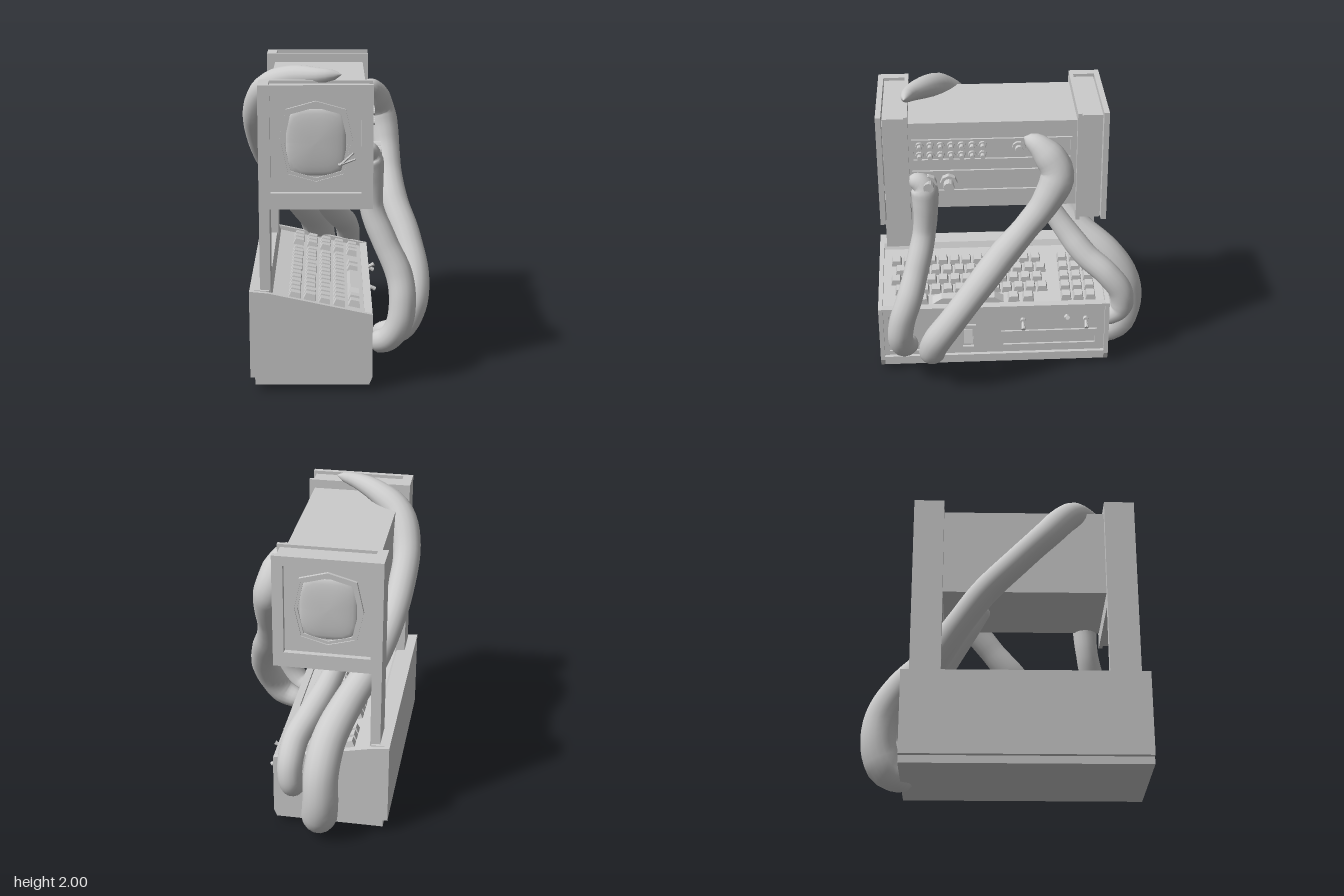
import * as THREE from 'three';
import { mergeVertices } from 'three/addons/utils/BufferGeometryUtils.js';

const mat = new THREE.MeshStandardMaterial({ color: 0xcccccc, side: THREE.DoubleSide });
const flat = new THREE.MeshStandardMaterial({ color: 0xcccccc, flatShading: true, side: THREE.DoubleSide });

function add(parent, name, geo, x = 0, y = 0, z = 0, m = flat) {
  const mesh = new THREE.Mesh(geo, m);
  mesh.name = name;
  mesh.position.set(x, y, z);
  parent.add(mesh);
  return mesh;
}

// box given by its limits on each axis
function box(parent, name, x0, x1, y0, y1, z0, z1) {
  return add(parent, name, new THREE.BoxGeometry(x1 - x0, y1 - y0, z1 - z0),
    (x0 + x1) / 2, (y0 + y1) / 2, (z0 + z1) / 2);
}

const poly = (pts) => pts.map(([x, y]) => new THREE.Vector2(x, y));

function extrude(pts, depth, hole) {
  const s = new THREE.Shape(poly(pts));
  if (hole) s.holes.push(new THREE.Path(poly(hole)));
  return new THREE.ExtrudeGeometry(s, { depth, bevelEnabled: false });
}

const rect = (x0, x1, y0, y1) => [[x0, y0], [x1, y0], [x1, y1], [x0, y1]];

// rectangular frame lying on a +x face
function sideFrame(parent, name, x, depth, z0, z1, y0, y1, t) {
  const geo = extrude(rect(-z1, -z0, y0, y1), depth, rect(-z1 + t, -z0 - t, y0 + t, y1 - t));
  geo.rotateY(Math.PI / 2);
  return add(parent, name, geo, x, 0, 0);
}

// round part with its axis along x, starting at x
function knob(parent, name, x, y, z, r, len, sides = 12, r2 = r) {
  const geo = new THREE.CylinderGeometry(r2, r, len, sides).rotateZ(-Math.PI / 2);
  return add(parent, name, geo, x + len / 2, y, z);
}

// organic tube with varying radius and rounded ends
function tentacle(parent, name, pts, radii) {
  const curve = new THREE.CatmullRomCurve3(pts.map((p) => new THREE.Vector3(...p)));
  const n = 64, sides = 16;
  const geo = new THREE.TubeGeometry(curve, n, 1, sides, false);
  const pos = geo.attributes.position, v = new THREE.Vector3();
  for (let i = 0; i <= n; i++) {
    const t = i / n, c = curve.getPointAt(t), f = t * (radii.length - 1);
    const k = Math.min(Math.floor(f), radii.length - 2);
    const e = Math.min(1, Math.min(t, 1 - t) / 0.035);
    const r = THREE.MathUtils.lerp(radii[k], radii[k + 1], f - k) * Math.sqrt(1 - (1 - e) ** 2);
    for (let j = 0; j <= sides; j++) {
      const q = i * (sides + 1) + j;
      v.fromBufferAttribute(pos, q).sub(c).multiplyScalar(Math.max(r, 0.001)).add(c);
      pos.setXYZ(q, v.x, v.y, v.z);
    }
  }
  geo.deleteAttribute('uv');
  geo.deleteAttribute('normal');
  const smooth = mergeVertices(geo, 1e-5);
  smooth.computeVertexNormals();
  return add(parent, name, smooth, 0, 0, 0, mat);
}

// eight-sided screen outline
const outline = (s) => [[0, 0.255], [-0.18, 0.205], [-0.225, 0], [-0.18, -0.205],
  [0, -0.255], [0.18, -0.205], [0.225, 0], [0.18, 0.205]].map(([x, y]) => [x * s, y * s]);

// monitor housing facing +z, with its outer face at z = 0.1
function monitor(name) {
  const g = new THREE.Group();
  g.name = name;
  const x0 = -0.345, x1 = 0.345, h = 0.38;
  box(g, 'housingCore', x0 + 0.02, x1 - 0.02, -h + 0.01, h - 0.02, -0.08, 0.06);
  box(g, 'innerFlange', x0, x1, -h, h, -0.1, -0.075);
  add(g, 'faceFrame', extrude(rect(x0, x1, -h, h), 0.035, rect(-0.275, 0.275, -0.28, 0.315)), 0, 0, 0.065);
  add(g, 'outerBezel', extrude(outline(1), 0.02, outline(0.93)), 0, 0.025, 0.06);
  add(g, 'innerBezel', extrude(outline(0.93), 0.012, outline(0.85)), 0, 0.025, 0.06);
  // bulging glass
  const glass = new THREE.SphereGeometry(1, 24, 6, 0, Math.PI * 2, 0, Math.PI / 2).rotateX(Math.PI / 2);
  const p = glass.attributes.position;
  for (let i = 0; i < p.count; i++) {
    const a = Math.atan2(p.getY(i), p.getX(i));
    const q = 1 / Math.pow(Math.abs(Math.cos(a)) ** 4 + Math.abs(Math.sin(a)) ** 4, 0.25);
    p.setXYZ(i, p.getX(i) * 0.18 * q, p.getY(i) * 0.205 * q, p.getZ(i) * 0.025);
  }
  glass.computeVertexNormals();
  add(g, 'screenGlass', glass, 0, 0.025, 0.06, mat);
  return g;
}

export function createModel() {
  const root = new THREE.Group();

  // base cabinet: plinth, recessed core and full-height end walls
  const base = new THREE.Group();
  base.name = 'baseCabinet';
  root.add(base);
  box(base, 'plinth', -0.51, 0.2, 0.05, 0.1, -0.62, 0.89);
  add(base, 'core', extrude([[-0.54, 0.1], [0.195, 0.1], [0.195, 0.485], [-0.4, 0.615],
    [-0.42, 0.655], [-0.54, 0.66]], 1.51), 0, 0, -0.62);
  const wall = [[-0.54, 0.1], [-0.54, 0.66], [-0.43, 0.65], [0.22, 0.51], [0.22, 0.1], [0.2, 0.05], [-0.51, 0.05], [-0.51, 0.1]];
  for (const z of [-0.65, 0.89]) add(base, 'endWall', extrude(wall, 0.03), 0, 0, z);
  box(base, 'frontLip', 0.17, 0.22, 0.49, 0.51, -0.62, 0.89);
  box(base, 'frontSill', 0.17, 0.22, 0.1, 0.125, -0.62, 0.89);

  // front panel fittings
  sideFrame(base, 'driveSlotFrame', 0.195, 0.015, -0.57, 0.09, 0.18, 0.3, 0.012);
  sideFrame(base, 'socketFrame', 0.195, 0.015, 0.5, 0.87, 0.15, 0.485, 0.015);
  sideFrame(base, 'switchFrame', 0.195, 0.02, 0.26, 0.37, 0.17, 0.36, 0.018);
  box(base, 'rockerSwitch', 0.19, 0.22, 0.22, 0.32, 0.285, 0.345).rotation.z = 0.25;
  for (const [z, y, tilt] of [[-0.06, 0.385, -0.5], [-0.36, 0.4, 0.5], [-0.49, 0.385, -0.5]]) {
    knob(base, 'toggleCollar', 0.195, y, z, 0.018, 0.025, 8);
    const lever = knob(base, 'toggleLever', 0.205, y + tilt * 0.04, z, 0.009, 0.065, 8, 0.015);
    lever.rotation.z = tilt;
  }

  // keyboard: tapered caps on the sloping deck
  const keys = new THREE.Group();
  keys.name = 'keyboard';
  root.add(keys);
  const slope = Math.atan2(0.13, 0.595);
  const key = (x, z, w) => {
    const geo = new THREE.CylinderGeometry(0.72 * Math.SQRT1_2, Math.SQRT1_2, 1, 4).rotateY(Math.PI / 4);
    geo.scale(0.078, 0.045, w);
    add(keys, 'key', geo, x, 0.485 + (0.195 - x) * 0.2185 + 0.018, z).rotation.z = -slope;
  };
  for (let r = 0; r < 5; r++) {
    const x = 0.11 - r * 0.093;
    if (r === 0) {
      key(x, 0.31, 0.5);
      for (const z of [0.72, 0.62, 0, -0.1]) key(x, z, 0.08);
    } else {
      for (let c = 0; c < 13; c++) key(x, 0.8 - c * 0.081 - (r % 2) * 0.03, 0.074);
    }
    for (let c = 0; c < 3; c++) key(x, -0.36 - c * 0.083, 0.074);
  }

  // posts and the two opposite-facing monitors
  for (const [z0, z1] of [[0.67, 0.87], [-0.6, -0.4]]) box(root, 'post', -0.475, -0.41, 0.6, 1.93, z0, z1);
  const front = monitor('frontMonitor');
  front.position.set(-0.1275, 1.55, 0.77);
  const back = monitor('backMonitor');
  back.position.set(-0.1275, 1.55, -0.5);
  back.rotation.y = Math.PI;
  root.add(front, back);
  // small splintered lever on the front glass
  for (const [y, a] of [[1.46, 0.35], [1.48, 0.75]]) {
    const s = add(root, 'screenLever', new THREE.CylinderGeometry(0.006, 0.01, 0.11, 6), 0.06, y, 0.86);
    s.rotation.z = a - Math.PI / 2;
  }

  // upper housing with its control panels
  const body = new THREE.Group();
  body.name = 'upperHousing';
  root.add(body);
  box(body, 'shell', -0.42, 0.18, 1.27, 1.87, -0.42, 0.69);
  for (const y of [1.61, 1.39]) sideFrame(body, 'panelFrame', 0.175, 0.02, -0.37, 0.65, y, y + 0.15, 0.01);
  for (let r = 0; r < 2; r++) {
    for (let c = 0; c < 7; c++) {
      const y = 1.65 + r * 0.065, z = 0.6 - c * 0.0667;
      knob(body, 'buttonRing', 0.18, y, z, 0.026, 0.02, 10);
      knob(body, 'button', 0.18, y, z, 0.016, 0.055, 10);
    }
  }
  for (const z of [-0.03, -0.13]) {
    knob(body, 'dialRing', 0.18, 1.69, z, 0.045, 0.02, 10);
    knob(body, 'dial', 0.18, 1.69, z, 0.026, 0.05, 10);
  }
  for (const z of [0.55, 0.42]) {
    knob(body, 'largeKnobSkirt', 0.18, 1.46, z, 0.055, 0.04, 8);
    knob(body, 'largeKnob', 0.18, 1.46, z, 0.034, 0.1, 12);
  }

  // tentacles winding around the machine
  tentacle(root, 'frontTentacle', [[0.2, 1.5, 0.68], [0.2, 1.45, 0.59], [0.21, 1.3, 0.575], [0.22, 1.1, 0.59],
    [0.3, 0.9, 0.64], [0.39, 0.7, 0.7], [0.41, 0.55, 0.75], [0.39, 0.4, 0.77], [0.32, 0.29, 0.75], [0.22, 0.25, 0.7]],
  [0.04, 0.09, 0.08, 0.075, 0.08, 0.08, 0.085, 0.085, 0.085, 0.08, 0.07]);
  tentacle(root, 'sideTentacle', [[0.2, 1.77, -0.06], [0.24, 1.72, -0.16], [0.29, 1.56, -0.27], [0.33, 1.38, -0.2],
    [0.35, 1.2, -0.07], [0.38, 1.02, 0.08], [0.46, 0.82, 0.25], [0.51, 0.6, 0.42], [0.48, 0.42, 0.53],
    [0.4, 0.29, 0.56], [0.22, 0.24, 0.52]],
  [0.04, 0.1, 0.11, 0.09, 0.085, 0.095, 0.095, 0.09, 0.09, 0.095, 0.09, 0.06]);
  tentacle(root, 'overTopTentacle', [[0.03, 1.965, 0.69], [-0.1, 1.95, 0.66], [-0.28, 1.92, 0.54], [-0.44, 1.83, 0.43],
    [-0.51, 1.65, 0.28], [-0.5, 1.45, 0.08], [-0.45, 1.25, -0.13], [-0.37, 1.06, -0.29], [-0.24, 0.86, -0.46],
    [-0.15, 0.69, -0.66], [-0.12, 0.5, -0.78], [-0.12, 0.3, -0.8], [-0.1, 0.14, -0.73], [-0.07, 0.08, -0.55]],
  [0.03, 0.065, 0.09, 0.095, 0.09, 0.09, 0.09, 0.09, 0.1, 0.11, 0.115, 0.115, 0.12, 0.08]);
  tentacle(root, 'underTentacle', [[-0.18, 1.29, -0.12], [-0.16, 1.1, -0.24], [-0.09, 0.92, -0.37], [0, 0.77, -0.5],
    [0.07, 0.66, -0.64], [0.09, 0.52, -0.74], [0.08, 0.38, -0.74], [0.07, 0.29, -0.62]],
  [0.06, 0.07, 0.075, 0.085, 0.085, 0.085, 0.08, 0.06]);

  return root;
}
